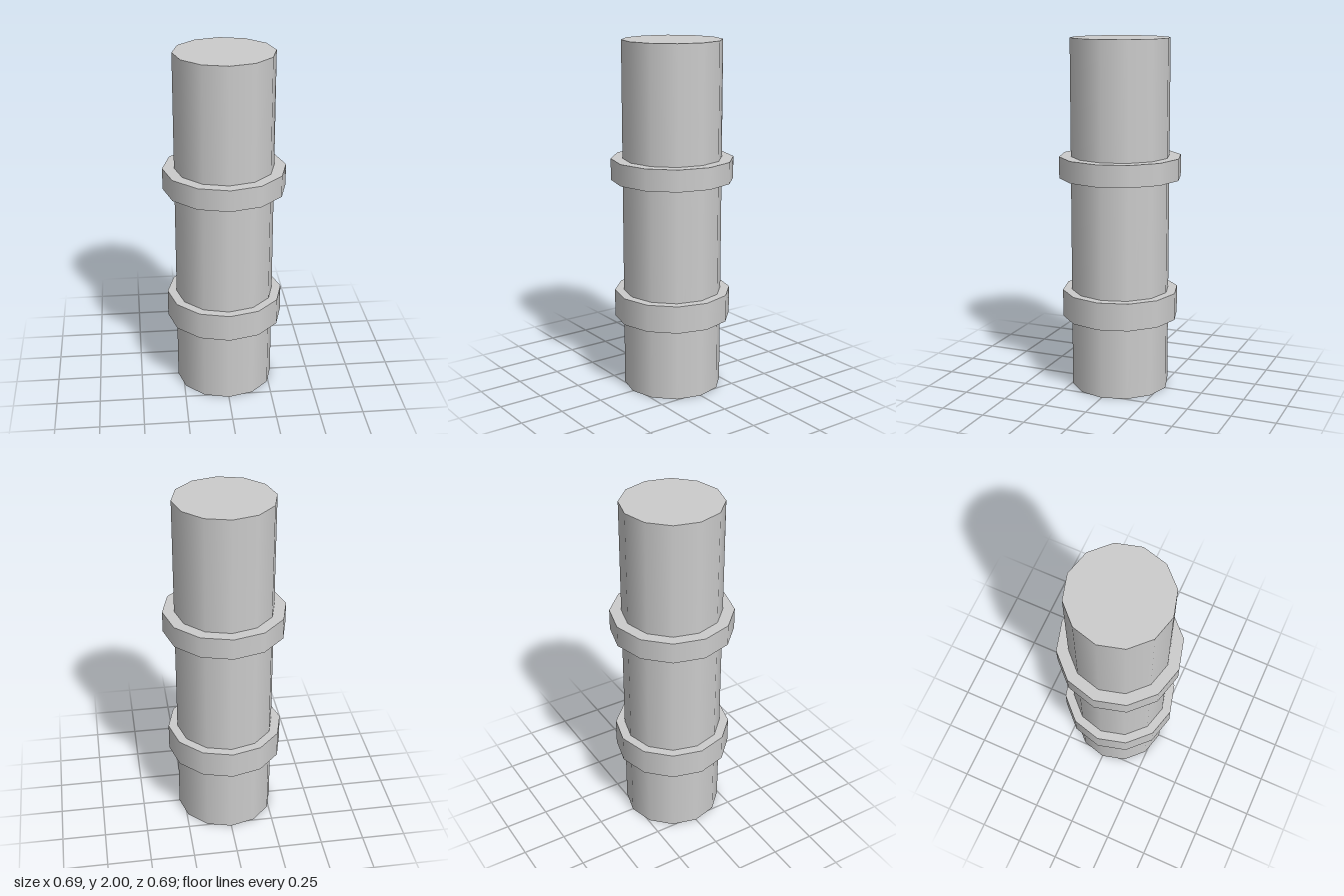
import * as THREE from 'three';

const SIDES = 12;

export function createModel() {
  const group = new THREE.Group();
  const material = new THREE.MeshStandardMaterial({ color: 0xcccccc });

  // Upright twelve-sided drum between two heights
  function addDrum(name, radius, bottom, top) {
    const height = top - bottom;
    const mesh = new THREE.Mesh(new THREE.CylinderGeometry(radius, radius, height, SIDES), material);
    mesh.name = name;
    mesh.position.y = bottom + height / 2;
    group.add(mesh);
  }

  // Main shaft
  addDrum('shaft', 0.28, 0, 2);

  // Raised collars around the shaft
  addDrum('lowerCollar', 0.332, 0.417, 0.573);
  addDrum('upperCollar', 0.346, 1.222, 1.344);

  return group;
}
